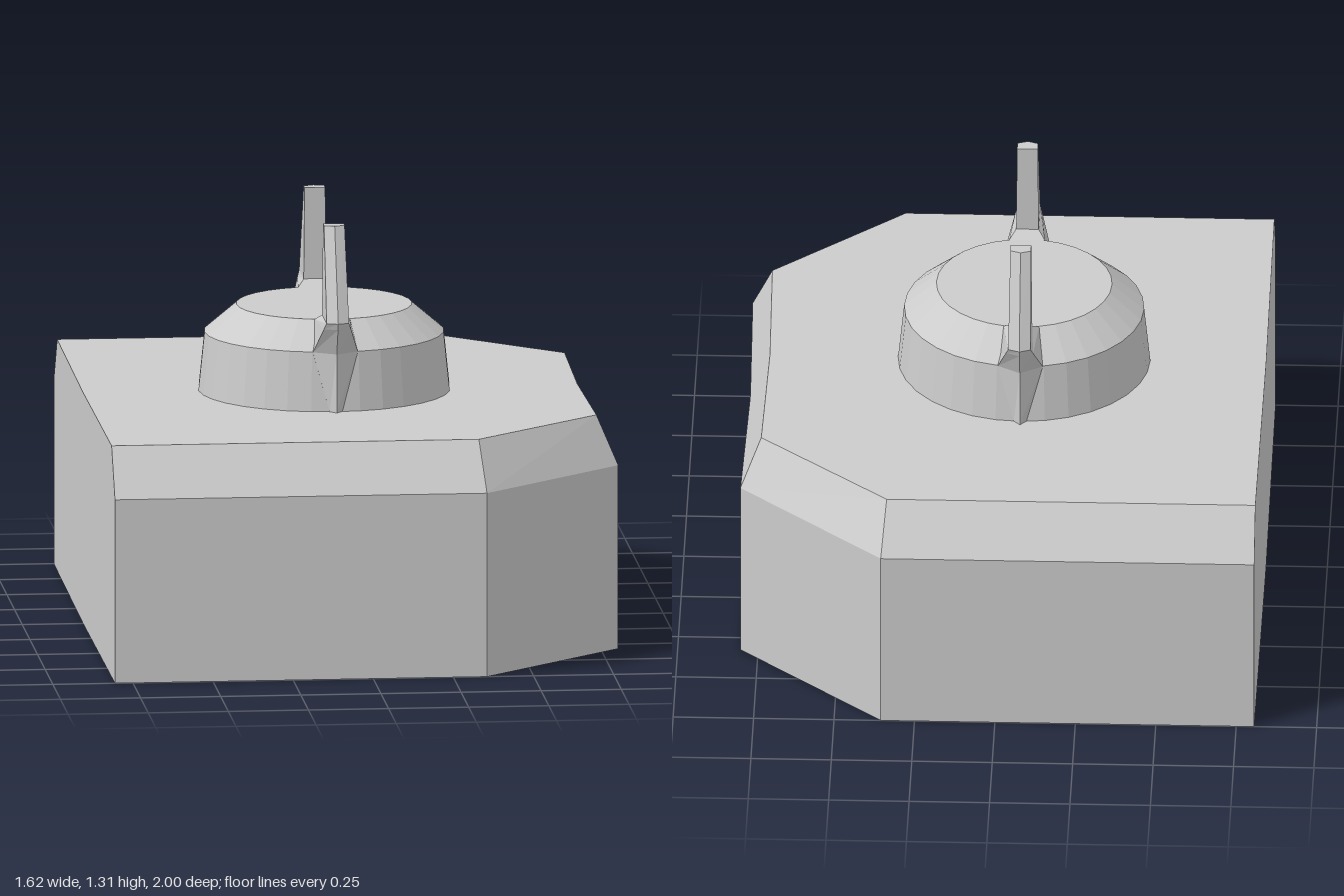
import * as THREE from 'three';

const material = new THREE.MeshStandardMaterial({ color: 0xcccccc, flatShading: true });

// Skin a stack of rings (counter-clockwise seen from above) and cap both ends.
function loft(rings) {
  const pos = [];
  const tri = (a, b, c) => pos.push(...a, ...b, ...c);
  const n = rings[0].length;
  for (let r = 0; r < rings.length - 1; r++) {
    const lo = rings[r], hi = rings[r + 1];
    for (let i = 0; i < n; i++) {
      const j = (i + 1) % n;
      tri(lo[i], lo[j], hi[j]);
      tri(lo[i], hi[j], hi[i]);
    }
  }
  const bottom = rings[0], top = rings[rings.length - 1];
  for (let i = 1; i < n - 1; i++) {
    tri(bottom[0], bottom[i + 1], bottom[i]);
    tri(top[0], top[i], top[i + 1]);
  }
  const geometry = new THREE.BufferGeometry();
  geometry.setAttribute('position', new THREE.Float32BufferAttribute(pos, 3));
  geometry.computeVertexNormals();
  return geometry;
}

function part(name, geometry) {
  const mesh = new THREE.Mesh(geometry, material);
  mesh.name = name;
  return mesh;
}

// Base outline: straight back edge at -x, clipped corners at +x.
function baseRing(y, halfDepth, cutX, sideX, sideZ, midX) {
  return [
    [-0.81, y, 0], [-0.806, y, halfDepth], [cutX, y, halfDepth], [sideX, y, sideZ],
    [midX, y, 0], [sideX, y, -sideZ], [cutX, y, -halfDepth], [-0.806, y, -halfDepth],
  ];
}

// Prong section: flat inner face, ridged outer face.
function prongRing([y, innerW, outerW, innerZ, sideZ, ridgeZ]) {
  return [
    [-innerW, y, innerZ], [-outerW, y, sideZ], [0, y, ridgeZ],
    [outerW, y, sideZ], [innerW, y, innerZ],
  ];
}

export function createModel() {
  const model = new THREE.Group();
  model.name = 'prongedBlock';

  // Heavy block with bevelled upper edges
  model.add(part('base', loft([
    baseRing(0, 1, 0.355, 0.805, 0.575, 0.793),
    baseRing(0.58, 1, 0.355, 0.805, 0.575, 0.793),
    baseRing(0.73, 0.89, 0.34, 0.742, 0.52, 0.732),
  ])));

  const turret = new THREE.Group();
  turret.name = 'turret';
  turret.position.x = -0.058;
  model.add(turret);

  // Round drum with a chamfered rim
  const profile = [[0, 0.73], [0.392, 0.73], [0.373, 0.915], [0.273, 1.0], [0, 1.0]]
    .map(([r, y]) => new THREE.Vector2(r, y));
  turret.add(part('drum', new THREE.LatheGeometry(profile, 32)));

  // Two upright prongs, front and back
  const prong = loft([
    [0.73, 0.02, 0.02, 0.33, 0.39, 0.414],
    [0.915, 0.07, 0.07, 0.3, 0.37, 0.414],
    [1.0, 0.055, 0.042, 0.268, 0.437, 0.456],
    [1.02, 0.035, 0.035, 0.3, 0.45, 0.464],
    [1.308, 0.032, 0.032, 0.3, 0.335, 0.347],
  ].map(prongRing));
  ['frontProng', 'backProng'].forEach((name, i) => {
    const mesh = part(name, prong);
    mesh.rotation.y = i * Math.PI;
    turret.add(mesh);
  });

  return model;
}
